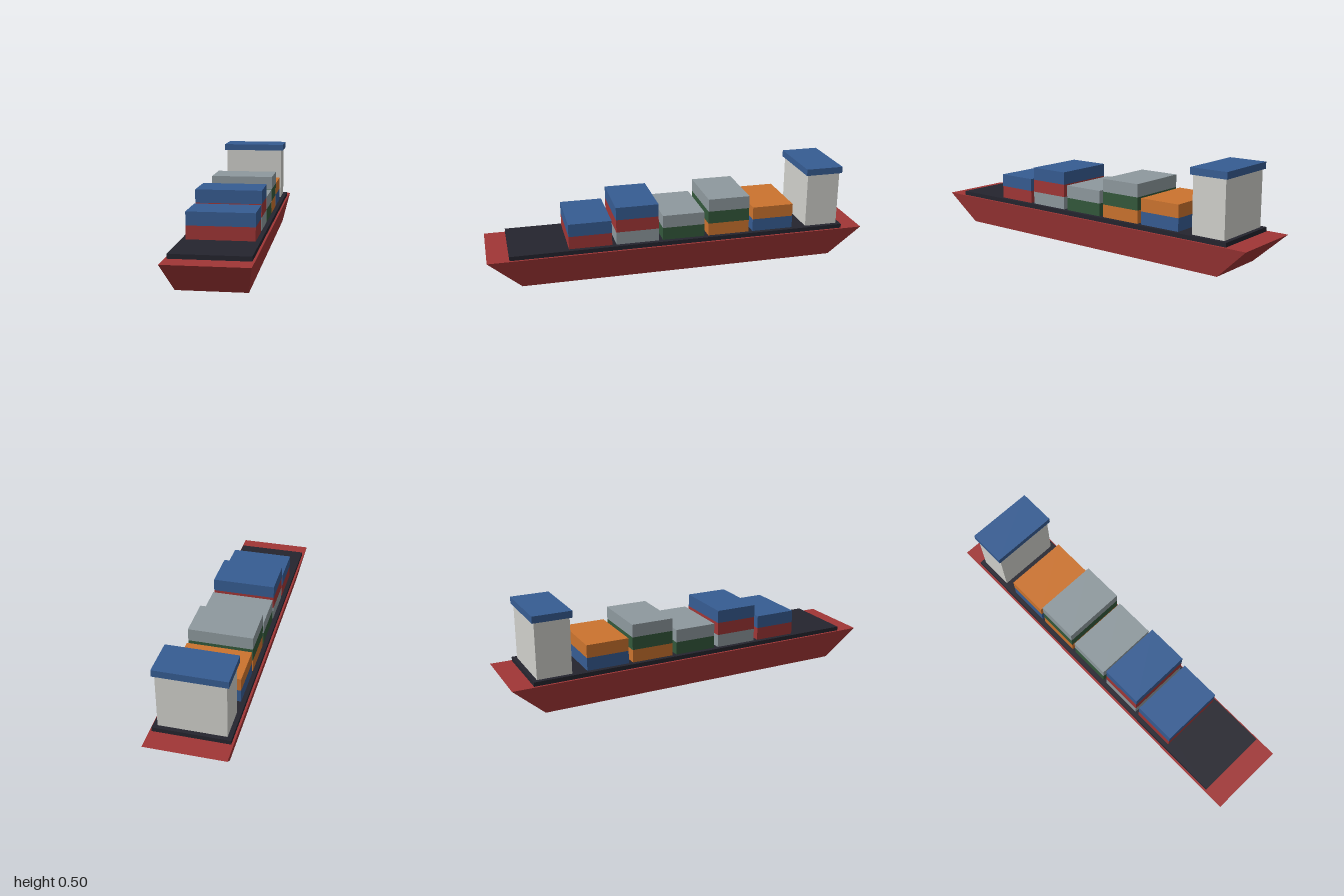
import * as THREE from 'three';

const material = (name, color) => new THREE.MeshStandardMaterial({ name, color });

export function createModel() {
  const red = material('red', 0xa03636);
  const blue = material('blue', 0x365c92);
  const grey = material('grey', 0x8e999e);
  const green = material('green', 0x33583b);
  const orange = material('orange', 0xcb732e);
  const white = material('offWhite', 0xd0d0cb);
  const dark = material('deckBlack', 0x24242e);

  const ship = new THREE.Group();
  ship.name = 'containerShip';

  // Box standing on height y
  const addBox = (parent, name, mat, width, height, depth, y, z) => {
    const mesh = new THREE.Mesh(new THREE.BoxGeometry(width, height, depth), mat);
    mesh.name = name;
    mesh.position.set(0, y + height / 2, z);
    parent.add(mesh);
    return mesh;
  };

  // Hull: box narrowed towards the keel
  const hull = addBox(ship, 'hull', red, 0.4, 0.156, 2, 0, 0);
  const points = hull.geometry.attributes.position;
  for (let i = 0; i < points.count; i++) {
    if (points.getY(i) < 0) {
      points.setX(i, Math.sign(points.getX(i)) * 0.167);
      points.setZ(i, Math.sign(points.getZ(i)) * 0.833);
    }
  }
  hull.geometry.computeVertexNormals();

  // Raised deck
  addBox(ship, 'deck', dark, 0.378, 0.022, 1.778, 0.156, 0);

  // Container stacks from bow to stern, each listed bottom to top
  const stacks = [
    [red, blue],
    [grey, red, blue],
    [green, grey],
    [orange, green, grey],
    [blue, orange],
  ];
  const level = 0.0668;
  stacks.forEach((colours, i) => {
    const stack = new THREE.Group();
    stack.name = `containerStack${i + 1}`;
    colours.forEach((mat, j) => {
      addBox(stack, `container${j + 1}`, mat, 0.333, level, 0.222, 0.178 + j * level, 0.478 - i * 0.2445);
    });
    ship.add(stack);
  });

  // Bridge tower with overhanging roof
  const bridge = new THREE.Group();
  bridge.name = 'bridge';
  addBox(bridge, 'bridgeTower', white, 0.333, 0.289, 0.178, 0.178, -0.778);
  addBox(bridge, 'bridgeRoof', blue, 0.356, 0.035, 0.2, 0.467, -0.778);
  ship.add(bridge);

  return ship;
}
